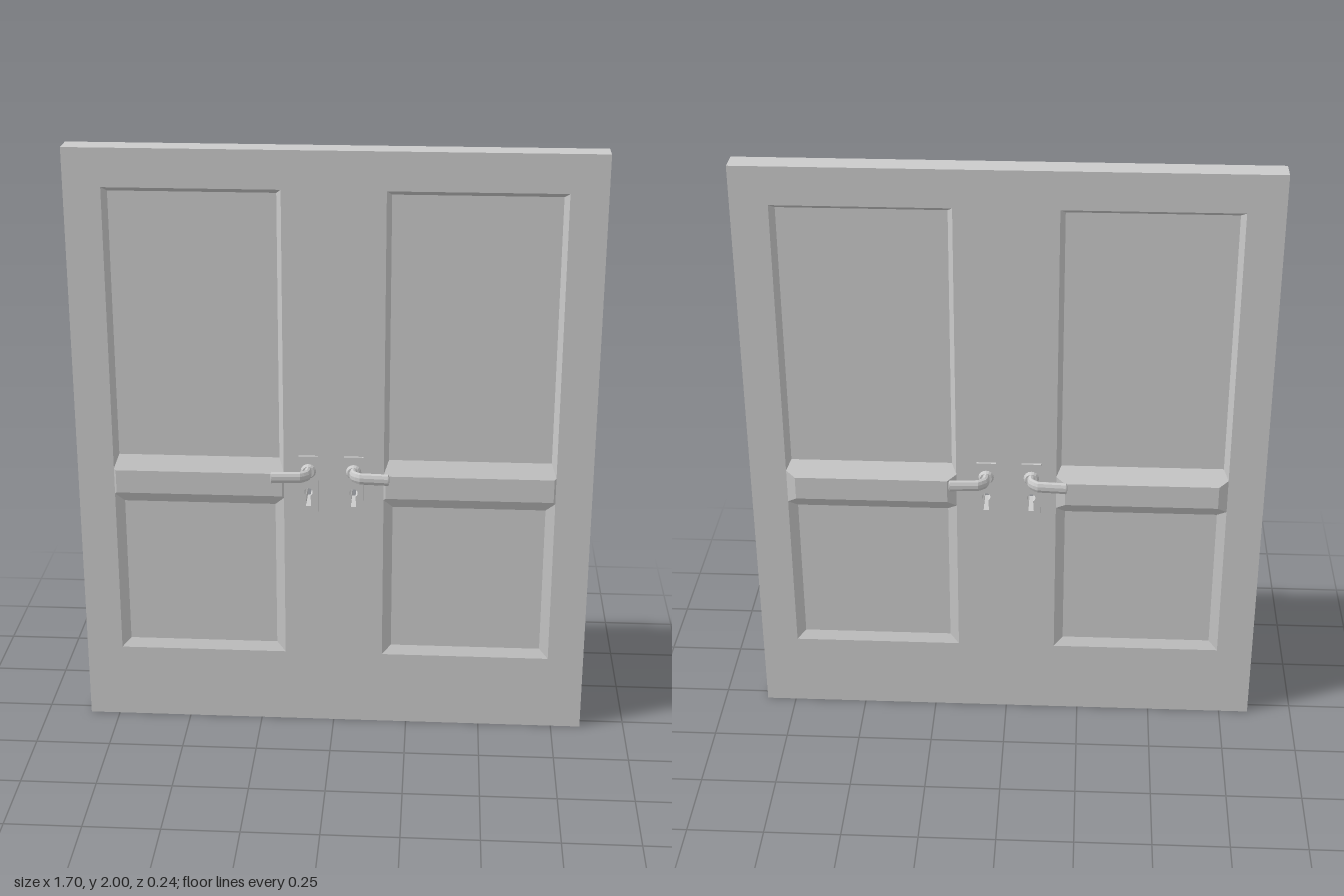
import * as THREE from 'three';

const material = new THREE.MeshStandardMaterial({ color: 0xcccccc, flatShading: true });
const FACE = 0.04; // half the door thickness
const LOCKS = [{ x: 0.066, dir: 1 }, { x: -0.083, dir: -1 }];

function add(parent, geometry, name, x = 0, y = 0, z = 0) {
  const mesh = new THREE.Mesh(geometry, material);
  mesh.name = name;
  mesh.position.set(x, y, z);
  parent.add(mesh);
  return mesh;
}

// rectangle path from [x0, y0, x1, y1]
function rect(target, [x0, y0, x1, y1]) {
  target.moveTo(x0, y0);
  target.lineTo(x1, y0);
  target.lineTo(x1, y1);
  target.lineTo(x0, y1);
  target.closePath();
  return target;
}

// round hole with a slot below it
function keyhole(x, y) {
  const p = new THREE.Path();
  p.absarc(x, y, 0.014, -1.08, 4.22, false);
  p.lineTo(x - 0.009, y - 0.05);
  p.lineTo(x + 0.009, y - 0.05);
  p.closePath();
  return p;
}

// four sloping sides from an outer to an inner rectangle, closed by the inner one
function bevelledPanel(outer, z0, inner, z1) {
  const corners = ([x0, y0, x1, y1], z) => [[x0, y0, z], [x1, y0, z], [x1, y1, z], [x0, y1, z]];
  const o = corners(outer, z0), n = corners(inner, z1);
  const pos = [];
  const quad = (a, b, c, d) => pos.push(...a, ...b, ...c, ...a, ...c, ...d);
  for (let i = 0; i < 4; i++) {
    const j = (i + 1) % 4;
    quad(o[i], o[j], n[j], n[i]);
  }
  quad(...n);
  const g = new THREE.BufferGeometry();
  g.setAttribute('position', new THREE.Float32BufferAttribute(pos, 3));
  g.computeVertexNormals();
  return g;
}

const inset = ([x0, y0, x1, y1], d) => [x0 + d, y0 + d, x1 - d, y1 - d];

// recessed panels and middle rails of one face of the door
function createFace(name, railZ) {
  const face = new THREE.Group();
  face.name = name;
  for (const s of [0, 1]) {
    const [a, b] = s ? [0.165, 0.73] : [-0.73, -0.165];
    const upper = [a, 0.88, b, 1.875], lower = [a, 0.26, b, 0.88];
    add(face, bevelledPanel(upper, FACE, inset(upper, 0.016), 0.015), 'upperPanel');
    add(face, bevelledPanel(lower, FACE, inset(lower, 0.03), 0.025), 'lowerPanel');
    const e = 2 * (railZ - FACE);
    add(face, bevelledPanel([a - 0.05, 0.785, b + 0.05, 0.968], 0.015,
      [a + e, 0.84, b - e, 0.92], railZ), 'middleRail');
  }
  return face;
}

// bent lever with its rose; dir is the way it points, side is +1 front, -1 back
function createHandle(x, dir, side) {
  const handle = new THREE.Group();
  handle.name = 'handle';
  handle.position.set(x, 0.935, 0);
  const path = new THREE.CurvePath();
  const pts = [[0, 0.04], [0, 0.083], [0.022, 0.103], [0.115, 0.109]]
    .map(([px, pz]) => new THREE.Vector3(px * dir, 0, pz * side));
  for (let i = 0; i < 3; i++) path.add(new THREE.LineCurve3(pts[i], pts[i + 1]));
  const lever = new THREE.TubeGeometry(path, 18, 0.0125, 10);
  lever.scale(1, 1.6, 1);
  add(handle, lever, 'lever');
  const tip = new THREE.SphereGeometry(0.0125, 10, 8);
  tip.scale(0.4, 1.6, 1);
  add(handle, tip, 'leverTip', pts[3].x, 0, pts[3].z);
  const rose = new THREE.CylinderGeometry(0.02, 0.027, 0.014, 16);
  rose.rotateX(side * Math.PI / 2);
  add(handle, rose, 'rose', 0, 0, side * 0.052);
  return handle;
}

export function createModel() {
  const model = new THREE.Group();
  model.name = 'doubleDoor';

  // frame with panel openings and keyholes cut right through
  const outline = rect(new THREE.Shape(), [-0.85, 0, 0.85, 2]);
  outline.holes.push(rect(new THREE.Path(), [-0.73, 0.26, -0.165, 1.875]));
  outline.holes.push(rect(new THREE.Path(), [0.165, 0.26, 0.73, 1.875]));
  for (const { x } of LOCKS) outline.holes.push(keyhole(x, 0.86));
  add(model, new THREE.ExtrudeGeometry(outline, { depth: 2 * FACE, bevelEnabled: false }),
    'doorFrame', 0, 0, -FACE);

  // front and back faces
  model.add(createFace('frontFace', 0.043));
  const back = createFace('backFace', 0.055);
  back.rotation.y = Math.PI;
  model.add(back);

  // lock plates and handles on both sides
  for (const { x, dir } of LOCKS) {
    for (const side of [1, -1]) {
      const plate = rect(new THREE.Shape(), [-0.032, 0.79, 0.032, 0.987]);
      plate.holes.push(keyhole(0, 0.86));
      const g = new THREE.ExtrudeGeometry(plate, { depth: 0.008, bevelEnabled: false });
      add(model, g, 'lockPlate', x, 0, side > 0 ? FACE : -FACE - 0.008);
      model.add(createHandle(x, dir, side));
    }
  }
  return model;
}
